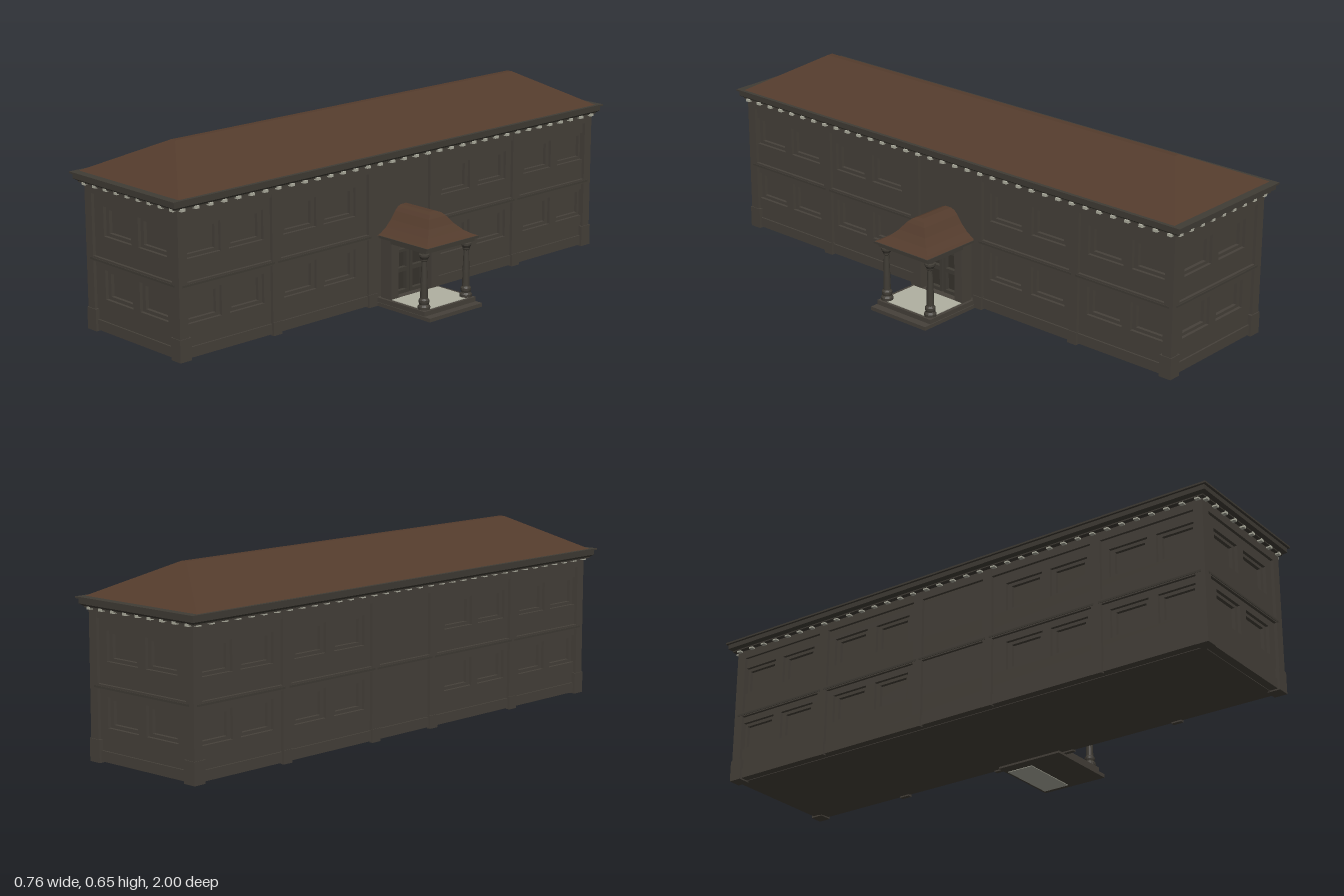
import * as THREE from 'three';

const mat = (name, color) => Object.assign(new THREE.MeshStandardMaterial({ color }), { name });
const M = {
  wall: mat('wall stone', 0x46413a),
  trim: mat('dark trim', 0x403c35),
  roof: mat('roof tiles', 0x533b2c),
  pale: mat('pale stone', 0xb0b0a1),
  door: mat('door', 0x37332d),
};
const CX = -0.1065, HX = 0.2385, HZ = 0.967; // main block centre and half sizes
const PZ = -0.0125; // porch centre line
const RECESS = 0.034; // depth of the window backs behind the pilaster faces

function add(parent, name, geo, material, x = 0, y = 0, z = 0) {
  const m = new THREE.Mesh(geo, material);
  m.name = name;
  m.position.set(x, y, z);
  parent.add(m);
  return m;
}

// Box given by its min and max on every axis
function box(parent, name, material, x0, x1, y0, y1, z0, z1) {
  return add(parent, name, new THREE.BoxGeometry(x1 - x0, y1 - y0, z1 - z0), material,
    (x0 + x1) / 2, (y0 + y1) / 2, (z0 + z1) / 2);
}

// Stack of rectangles [y, x0, x1, z0, z1] joined by flat faces and capped
function loft(rings) {
  const pos = [];
  const corners = ([y, x0, x1, z0, z1]) => [[x0, y, z1], [x1, y, z1], [x1, y, z0], [x0, y, z0]];
  const quad = (a, b, c, d) => pos.push(...a, ...b, ...c, ...a, ...c, ...d);
  for (let i = 0; i < rings.length - 1; i++) {
    const lo = corners(rings[i]), hi = corners(rings[i + 1]);
    for (let k = 0; k < 4; k++) quad(lo[k], lo[(k + 1) % 4], hi[(k + 1) % 4], hi[k]);
  }
  quad(...corners(rings[0]).reverse());
  quad(...corners(rings[rings.length - 1]));
  const g = new THREE.BufferGeometry();
  g.setAttribute('position', new THREE.Float32BufferAttribute(pos, 3));
  g.computeVertexNormals();
  return g;
}

function rect(path, x0, x1, y0, y1) {
  return path.moveTo(x0, y0).lineTo(x1, y0).lineTo(x1, y1).lineTo(x0, y1).closePath();
}

// Flat plate with rectangular holes [x0, x1, y0, y1]
function plate(outer, holes, depth) {
  const s = rect(new THREE.Shape(), ...outer);
  holes.forEach((h) => s.holes.push(rect(new THREE.Path(), ...h)));
  return new THREE.ExtrudeGeometry(s, { depth, bevelEnabled: false });
}

// One facade in its own frame: u along local x, outward along local +z
function facade(name, half, dist, turn, windows, bays, pilasters) {
  const g = new THREE.Group();
  g.name = name;
  g.rotation.y = turn;
  const hole = (u, y, w, h) => [u - w / 2, u + w / 2, y - h / 2, y + h / 2];
  const all = windows.flatMap((u) => [[u, 0.17], [u, 0.383]]);
  const holes = all.map(([u, y]) => hole(u, y, 0.144, 0.1));
  add(g, 'wallPanel', plate([-half + 0.011, half - 0.011, 0.01, 0.5], holes, RECESS - 0.011),
    M.wall, 0, 0, dist - RECESS);
  // stepped frames inside the window recesses
  all.forEach(([u, y], i) => add(g, 'windowFrame',
    plate(holes[i], [hole(u, y, 0.113, 0.078)], 0.012), M.wall, 0, 0, dist - RECESS));
  // head, floor band and skirt of every bay
  for (const [a, b] of bays) {
    box(g, 'bayHead', M.wall, a, b, 0.47, 0.5, dist - 0.012, dist - 0.001);
    box(g, 'floorBand', M.wall, a, b, 0.243, 0.26, dist - 0.012, dist - 0.001);
    box(g, 'bandMoulding', M.trim, a - 0.01, b + 0.01, 0.247, 0.254, dist - 0.012, dist + 0.001);
    box(g, 'skirt', M.wall, a, b, 0.01, 0.045, dist - 0.012, dist - 0.005);
  }
  for (const u of pilasters) {
    box(g, 'pilaster', M.wall, u - 0.018, u + 0.018, 0.005, 0.5, dist - 0.012, dist);
    box(g, 'pilasterPlinth', M.wall, u - 0.019, u + 0.019, 0.005, 0.05, dist - 0.012, dist + 0.003);
  }
  // cornice brackets
  const reach = half - 0.0135, n = Math.round((2 * reach) / 0.0563);
  for (let i = 0; i <= n; i++) {
    const u = -reach + (i * 2 * reach) / n;
    box(g, 'bracket', M.pale, u - 0.008, u + 0.008, 0.495, 0.504, dist - 0.005, dist + 0.014);
  }
  return g;
}

function mainBlock() {
  const g = new THREE.Group();
  g.name = 'mainBlock';
  g.position.x = CX;
  box(g, 'core', M.wall, -HX + RECESS, HX - RECESS, 0.008, 0.5, -HZ + RECESS, HZ - RECESS);
  // short ends
  const endBays = [[-HX + 0.03, HX - 0.03]];
  g.add(facade('frontWall', HX, HZ, 0, [-0.084, 0.096], endBays, []));
  g.add(facade('backWall', HX, HZ, Math.PI, [-0.096, 0.084], endBays, []));
  // long sides, positions given along z
  const windows = [0.86, 0.683, 0.455, 0.279, -0.268, -0.45, -0.688, -0.866];
  const bays = [[0.584, 0.943], [0.155, 0.547], [-0.547, -0.166], [-0.943, -0.584]];
  const pilasters = [0.565, 0.138, -0.151, -0.566];
  g.add(facade('rightWall', HZ, HX, -Math.PI / 2, windows, [...bays, [-0.135, 0.12]], pilasters));
  g.add(facade('leftWall', HZ, HX, Math.PI / 2, windows.map((z) => -z),
    bays.map(([a, b]) => [-b, -a]), pilasters.map((z) => -z)));
  // corner piers with plinths
  for (const sx of [-1, 1]) for (const sz of [-1, 1]) {
    const x = sx * (HX - 0.0175), z = sz * (HZ - 0.0175);
    box(g, 'cornerPier', M.wall, x - 0.0175, x + 0.0175, 0.005, 0.5, z - 0.0175, z + 0.0175);
    const px = sx * (HX - 0.02), pz = sz * (HZ - 0.02);
    box(g, 'cornerPlinth', M.wall, px - 0.023, px + 0.023, 0.005, 0.08, pz - 0.023, pz + 0.023);
  }
  return g;
}

function mainRoof() {
  const g = new THREE.Group();
  g.name = 'mainRoof';
  const c = -0.111;
  const ring = (y, hx, hz) => [y, c - hx, c + hx, -hz, hz];
  add(g, 'cornice', loft([ring(0.5, 0.25, 0.98), ring(0.504, 0.25, 0.98), ring(0.512, 0.261, 0.992),
    ring(0.528, 0.261, 0.992), ring(0.529, 0.268, 1), ring(0.535, 0.268, 1)]), M.trim);
  add(g, 'hippedRoof', loft([ring(0.534, 0.257, 0.972), ring(0.65, 0.011, 0.785)]), M.roof);
  return g;
}

function porch() {
  const g = new THREE.Group();
  g.name = 'porch';
  // floor and step
  box(g, 'porchStep', M.wall, 0.1, 0.378, 0.002, 0.015, PZ - 0.125, PZ + 0.125);
  box(g, 'porchFloor', M.wall, 0.1, 0.35, 0.015, 0.031, PZ - 0.122, PZ + 0.122);
  box(g, 'floorPaving', M.pale, 0.181, 0.34, 0.03, 0.033, PZ - 0.11, PZ + 0.11);
  box(g, 'slabUnderside', M.pale, 0.14, 0.36, 0, 0.003, PZ - 0.115, PZ - 0.015);

  // entrance bay with double doors
  add(g, 'entranceWall', plate([-0.112, 0.112, 0.03, 0.242], [[-0.078, 0.078, 0.031, 0.205]], 0.05),
    M.wall, 0.132, 0, PZ).rotation.y = Math.PI / 2;
  box(g, 'doorBacking', M.door, 0.125, 0.14, 0.03, 0.206, PZ - 0.08, PZ + 0.08);
  for (const s of [-1, 1]) {
    const leaf = plate([-0.035, 0.035, 0.033, 0.19],
      [[-0.024, 0.024, 0.045, 0.11], [-0.024, 0.024, 0.125, 0.18]], 0.016);
    add(g, 'doorLeaf', leaf, M.trim, 0.139, 0, PZ + s * 0.038).rotation.y = Math.PI / 2;
  }

  // columns
  const profile = [[0, 0.033], [0.021, 0.033], [0.021, 0.042], [0.016, 0.049], [0.018, 0.056], [0.018, 0.064],
    [0.013, 0.07], [0.012, 0.12], [0.009, 0.197], [0.012, 0.2], [0.012, 0.205], [0.018, 0.215], [0.018, 0.222],
    [0.012, 0.224], [0.012, 0.231]].map(([r, y]) => new THREE.Vector2(r, y));
  const shaft = new THREE.LatheGeometry(profile, 16).toNonIndexed();
  shaft.computeVertexNormals();
  for (const s of [-1, 1]) add(g, 'column', shaft, M.trim, 0.325, 0, PZ + s * 0.1);

  // beams on the columns and the ceiling
  box(g, 'frontBeam', M.trim, 0.305, 0.348, 0.229, 0.241, PZ - 0.115, PZ + 0.115);
  for (const s of [-1, 1]) {
    const z = PZ + s * 0.1;
    box(g, 'sideBeam', M.trim, 0.18, 0.31, 0.229, 0.241, z - 0.015, z + 0.015);
  }
  box(g, 'ceiling', M.trim, 0.13, 0.352, 0.239, 0.246, PZ - 0.117, PZ + 0.117);
  box(g, 'eave', M.trim, 0.13, 0.362, 0.243, 0.25, PZ - 0.123, PZ + 0.123);

  // curved hipped roof running into the wall
  const curve = [[0.36, 0.2495], [0.347, 0.255], [0.326, 0.27], [0.305, 0.293], [0.287, 0.32],
    [0.276, 0.332], [0.262, 0.338]];
  add(g, 'porchRoof', loft(curve.map(([x, y]) => {
    const hz = 0.012 + (x - 0.262) * 1.12;
    return [y, 0.125, x, PZ - hz, PZ + hz];
  })), M.roof);
  return g;
}

export function createModel() {
  const model = new THREE.Group();
  model.name = 'longHall';
  model.add(mainBlock(), mainRoof(), porch());
  return model;
}
